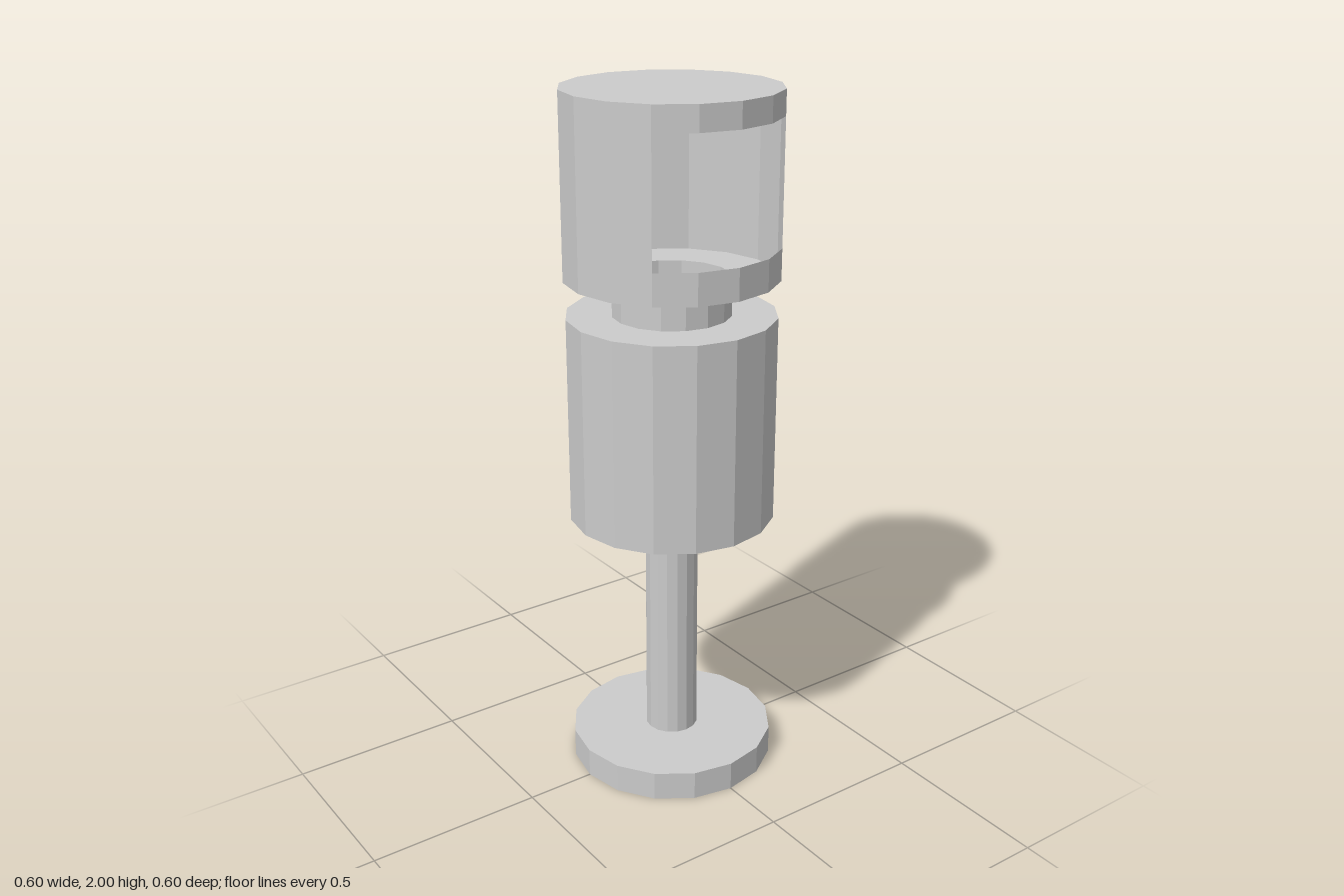
import * as THREE from 'three';

const SIDES = 16;

export function createModel() {
  const model = new THREE.Group();
  const solid = new THREE.MeshStandardMaterial({ color: 0xcccccc, flatShading: true });
  const shell = new THREE.MeshStandardMaterial({ color: 0xcccccc, flatShading: true, side: THREE.DoubleSide });

  const add = (parent, name, geometry, material, y) => {
    const mesh = new THREE.Mesh(geometry, material);
    mesh.name = name;
    mesh.position.y = y;
    parent.add(mesh);
    return mesh;
  };

  // Closed cylinder between two heights
  const drum = (name, r, y0, y1) =>
    add(model, name, new THREE.CylinderGeometry(r, r, y1 - y0, SIDES), solid, (y0 + y1) / 2);

  // Open wall between two heights, covering an arc measured from the front
  const wall = (parent, name, r, y0, y1, sides = SIDES, start = 0, arc = Math.PI * 2) =>
    add(parent, name, new THREE.CylinderGeometry(r, r, y1 - y0, sides, 1, true, start, arc), shell, (y0 + y1) / 2);

  drum('base', 0.3, 0, 0.085);
  drum('stem', 0.077, 0.085, 0.79);
  drum('body', 0.295, 0.79, 1.385);
  wall(model, 'neck', 0.167, 1.385, 1.49);

  // Hollow thin-walled head with a window spanning the front quarter
  const head = new THREE.Group();
  head.name = 'head';
  model.add(head);
  wall(head, 'lowerBand', 0.3, 1.49, 1.58);
  wall(head, 'windowWall', 0.3, 1.58, 1.93, SIDES * 3 / 4, Math.PI / 4, Math.PI * 1.5);
  wall(head, 'upperBand', 0.3, 1.93, 2);
  add(head, 'roof', new THREE.CircleGeometry(0.3, SIDES).rotateX(-Math.PI / 2), shell, 2);
  add(head, 'floorRing', new THREE.RingGeometry(0.167, 0.3, SIDES).rotateX(-Math.PI / 2), shell, 1.49);

  return model;
}
